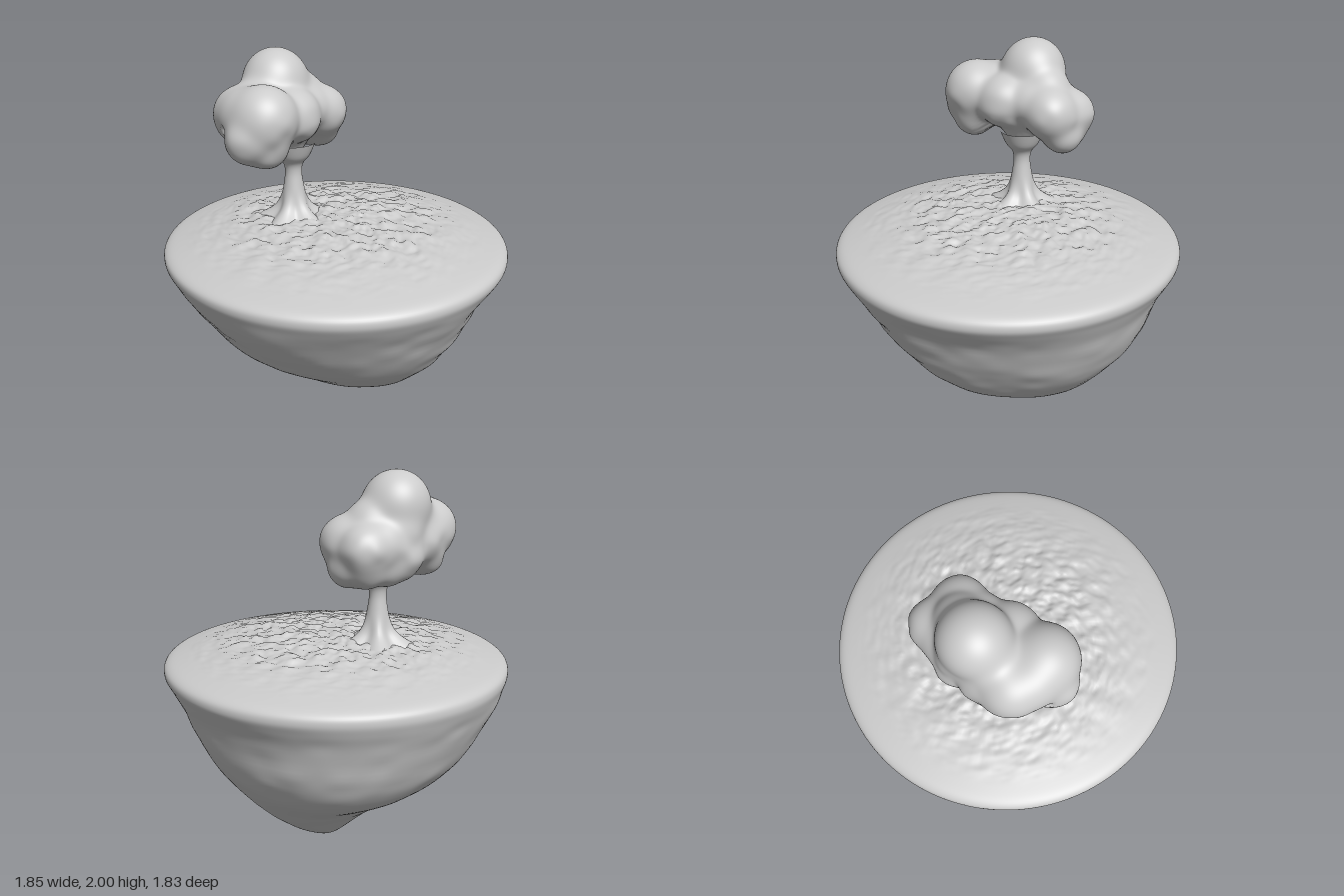
import * as THREE from 'three';
import { mergeVertices } from 'three/addons/utils/BufferGeometryUtils.js';

const grey = new THREE.MeshStandardMaterial({ color: 0xcccccc });
const { lerp, smoothstep } = THREE.MathUtils;

// Seeded smooth value noise in -1..1
function hash(x, y, z) {
  const s = Math.sin(x * 127.1 + y * 311.7 + z * 74.7) * 43758.5453;
  return (s - Math.floor(s)) * 2 - 1;
}
function noise(x, y, z) {
  const X = Math.floor(x), Y = Math.floor(y), Z = Math.floor(z);
  const [u, v, w] = [x - X, y - Y, z - Z].map((t) => t * t * (3 - 2 * t));
  const row = (j, k) => lerp(hash(X, Y + j, Z + k), hash(X + 1, Y + j, Z + k), u);
  return lerp(lerp(row(0, 0), row(1, 0), v), lerp(row(0, 1), row(1, 1), v), w);
}

function addMesh(group, name, geometry) {
  const mesh = new THREE.Mesh(geometry, grey);
  mesh.name = name;
  group.add(mesh);
}

// Floating island: stacked loops, each made of four quarter ellipses
function islandGeometry() {
  // y, left edge x, right edge x, back edge z, front edge z
  const rows = [
    [0, -0.1, -0.1, -0.12, -0.12],
    [0.015, -0.15, -0.04, -0.19, -0.05],
    [0.08, -0.22, 0.04, -0.31, 0.04],
    [0.17, -0.31, 0.17, -0.43, 0.16],
    [0.22, -0.37, 0.33, -0.485, 0.23],
    [0.28, -0.44, 0.455, -0.545, 0.31],
    [0.4, -0.63, 0.59, -0.65, 0.47],
    [0.5, -0.73, 0.67, -0.72, 0.61],
    [0.62, -0.8, 0.75, -0.78, 0.705],
    [0.8, -0.865, 0.845, -0.845, 0.835],
    [0.9, -0.908, 0.9, -0.892, 0.888],
    [0.96, -0.925, 0.925, -0.918, 0.915],
    [1.005, -0.905, 0.905, -0.9, 0.9],
    [1.035, -0.82, 0.82, -0.815, 0.815],
    [1.08, -0.6, 0.6, -0.6, 0.6],
    [1.115, -0.3, 0.3, -0.3, 0.3],
    [1.125, 0, 0, 0, 0],
  ];
  const spline = (f) => new THREE.CatmullRomCurve3(rows.map(f), false, 'catmullrom', 0.5);
  const xs = spline((r) => new THREE.Vector3(r[1], r[0], r[2]));
  const zs = spline((r) => new THREE.Vector3(r[3], r[0], r[4]));
  const last = rows.length - 1, N = 200, params = [];
  for (let i = 0; i < last; i++) {
    const steps = i > 12 ? 30 : 6;
    for (let s = 0; s < steps; s++) params.push((i + s / steps) / last);
  }
  params.push(1);

  const pos = [], index = [];
  params.forEach((t, i) => {
    const px = xs.getPoint(t), pz = zs.getPoint(t), y = px.y;
    const k = 1 - smoothstep(y, 0, 0.96);
    const cx = -0.1 * k, cz = -0.12 * k;
    const rock = smoothstep(y, 0.05, 0.25) * (1 - smoothstep(y, 0.75, 0.96));
    for (let j = 0; j < N; j++) {
      const a = (j / N) * Math.PI * 2, c = Math.cos(a), s = Math.sin(a);
      const rx = c > 0 ? px.z - cx : cx - px.x;
      const rz = s > 0 ? pz.z - cz : cz - pz.x;
      // Lumpy rock, fuller on one diagonal and flatter opposite
      const f = 1 + rock * ((0.024 * (s - c) - 0.004) * Math.sin(2 * a) ** 2
        + 0.01 * noise(c * 2.5 + 5, y * 6, s * 2.5) + 0.007 * noise(c * 6, y * 14, s * 6 + 9));
      const x = cx + rx * c * f, z = cz + rz * s * f, r = Math.hypot(x, z);
      // Rough, flaky soil towards the middle of the top
      let lift = 0;
      if (t * last > 13) {
        const rough = lerp(0.003, 0.011, 1 - smoothstep(r, 0.4, 0.75)) * smoothstep(0.82 - r, 0, 0.1);
        lift = rough * (noise(x * 17, 3, z * 21) + 0.7 * noise(x * 36 + 7, 1, z * 42));
      }
      pos.push(x, y + lift, z);
      if (i < params.length - 1) {
        const p = i * N + j, q = i * N + ((j + 1) % N);
        index.push(p, p + N, q, q, p + N, q + N);
      }
    }
  });
  const g = new THREE.BufferGeometry();
  g.setAttribute('position', new THREE.Float32BufferAttribute(pos, 3));
  g.setIndex(index);
  g.computeVertexNormals();
  return g;
}

// Trunk: lathe profile with the foot spread into roots
function trunkGeometry() {
  const profile = new THREE.SplineCurve([
    [0.2, 1.08], [0.13, 1.125], [0.09, 1.165], [0.067, 1.22], [0.051, 1.3],
    [0.045, 1.36], [0.055, 1.405], [0.09, 1.45], [0.12, 1.52],
  ].map(([r, y]) => new THREE.Vector2(r, y)));
  let g = new THREE.LatheGeometry(profile.getPoints(40), 48);
  const p = g.attributes.position;
  for (let i = 0; i < p.count; i++) {
    const x = p.getX(i), y = p.getY(i), z = p.getZ(i);
    const a = Math.atan2(z, x), foot = 1 - smoothstep(y, 1.08, 1.27);
    const f = 1 + 0.22 * foot * Math.cos(5 * a + 0.6);
    p.setXYZ(i, x * f - 0.2, y, z * f + 0.13);
  }
  g.deleteAttribute('uv');
  g.deleteAttribute('normal');
  g = mergeVertices(g, 1e-4);
  g.computeVertexNormals();
  return g;
}

// Foliage: a ball shrunk onto a smooth union of leafy lobes
function foliageGeometry() {
  const lobes = [ // x, y, z, radius
    [-0.3, 1.828, 0.16, 0.17], // crown
    [-0.28, 1.745, 0.02, 0.115], // slopes below the crown
    [-0.27, 1.745, 0.27, 0.125],
    [-0.36, 1.71, 0.14, 0.11],
    [-0.25, 1.66, 0.15, 0.16], // core
    [-0.22, 1.55, 0.14, 0.1],
    [-0.25, 1.55, 0.25, 0.09],
    [-0.37, 1.63, -0.07, 0.12], // back group
    [-0.22, 1.65, -0.075, 0.135],
    [-0.28, 1.54, -0.1, 0.1],
    [-0.36, 1.53, -0.05, 0.085],
    [-0.37, 1.65, 0.03, 0.11],
    [-0.18, 1.69, 0.04, 0.1],
    [-0.37, 1.59, 0.13, 0.12], // sides
    [-0.36, 1.53, 0.06, 0.085],
    [-0.34, 1.65, 0.28, 0.11],
    [-0.12, 1.68, 0.18, 0.14],
    [-0.08, 1.705, 0.38, 0.165], // front group
    [-0.27, 1.69, 0.39, 0.145],
    [-0.09, 1.61, 0.47, 0.115],
    [-0.3, 1.56, 0.34, 0.1],
    [-0.07, 1.565, 0.38, 0.105],
    [-0.18, 1.71, 0.42, 0.125],
  ];
  const k = 0.02;
  const distance = (v) => {
    let sum = 0;
    for (const [x, y, z, r] of lobes) sum += Math.exp((r - Math.hypot(v.x - x, v.y - y, v.z - z)) / k);
    // Small hollow in the front
    const hollow = 0.035 - Math.hypot(v.x + 0.2, v.y - 1.64, v.z - 0.56);
    return Math.max(-k * Math.log(sum), hollow);
  };
  const centre = new THREE.Vector3(-0.24, 1.65, 0.17);
  let g = new THREE.IcosahedronGeometry(1, 36);
  g.deleteAttribute('uv');
  g.deleteAttribute('normal');
  g = mergeVertices(g, 1e-4);
  const p = g.attributes.position, dir = new THREE.Vector3(), v = new THREE.Vector3();
  for (let i = 0; i < p.count; i++) {
    dir.fromBufferAttribute(p, i).normalize();
    let r = 0.7;
    for (let s = 0; s < 60; s++) {
      const d = distance(v.copy(centre).addScaledVector(dir, r));
      r -= d * 0.9;
      if (Math.abs(d) < 1e-4) break;
    }
    r += 0.007 * noise(v.x * 14, v.y * 14, v.z * 14) * (1 - smoothstep(v.y, 1.6, 1.8));
    v.copy(centre).addScaledVector(dir, r);
    p.setXYZ(i, v.x, v.y, v.z);
  }
  g.computeVertexNormals();
  return g;
}

export function createModel() {
  const group = new THREE.Group();
  group.name = 'floatingIsland';
  addMesh(group, 'island', islandGeometry());
  addMesh(group, 'trunk', trunkGeometry());
  addMesh(group, 'foliage', foliageGeometry());
  return group;
}
